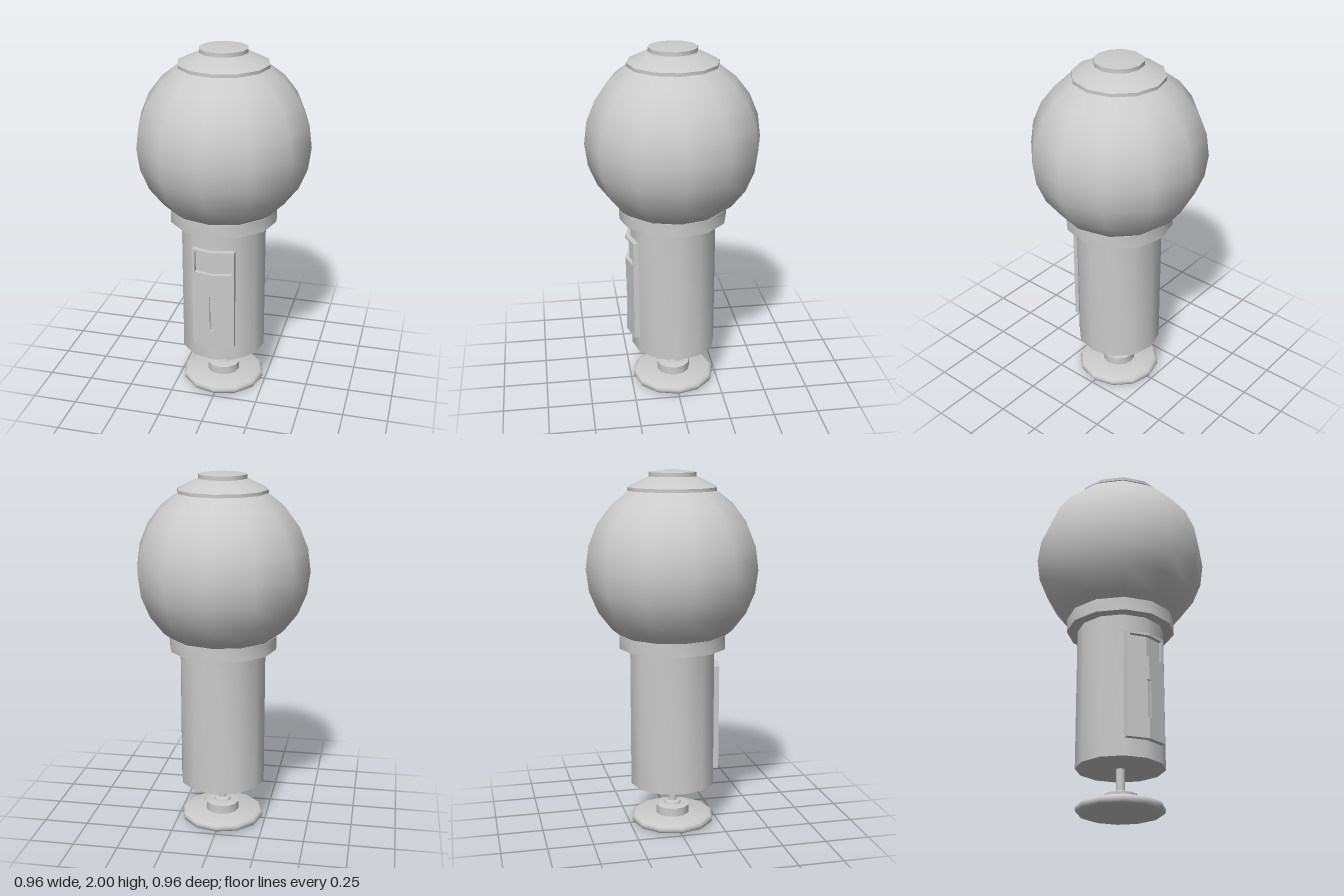
import * as THREE from 'three';
import { toCreasedNormals } from 'three/addons/utils/BufferGeometryUtils.js';

const SIDES = 12;
const SLOPE = Math.tan(Math.PI / SIDES); // slant of the column's two front facets

export function createModel() {
  const group = new THREE.Group();
  const grey = new THREE.MeshStandardMaterial({ color: 0xcccccc });

  const add = (name, geometry, parent = group) => {
    const mesh = new THREE.Mesh(geometry, grey);
    mesh.name = name;
    parent.add(mesh);
    return mesh;
  };

  // Twelve-sided turned part from [radius, height] pairs, bottom to top
  const turned = (name, profile, crease = 0.6) => {
    const points = profile.map(([r, y]) => new THREE.Vector2(r, y));
    add(name, toCreasedNormals(new THREE.LatheGeometry(points, SIDES), crease));
  };

  // Foot, hub and stem
  turned('foot', [[0, 0], [0.215, 0], [0.229, 0.006], [0.236, 0.018], [0.236, 0.032],
    [0.229, 0.044], [0.215, 0.05], [0, 0.05]], 0.75);
  turned('hub', [[0, 0.045], [0.095, 0.045], [0.095, 0.098], [0.048, 0.104],
    [0.044, 0.116], [0.025, 0.122], [0, 0.122]]);
  turned('stem', [[0, 0.1], [0.024, 0.1], [0.024, 0.25], [0, 0.25]]);

  // Column and collar
  turned('column', [[0, 0.24], [0.24, 0.24], [0.24, 1.04], [0, 1.04]]);
  turned('collar', [[0, 1.03], [0.3, 1.03], [0.3, 1.105], [0, 1.105]]);

  // Globe and its cap
  const globe = add('globe', new THREE.SphereGeometry(0.478, SIDES, 12));
  globe.position.y = 1.475;
  turned('cap', [[0, 1.888], [0.247, 1.888], [0.247, 1.906], [0.132, 1.962], [0, 1.962]], 0.55);
  turned('capButton', [[0, 1.955], [0.132, 1.955], [0.132, 1.984], [0, 2]], 0.55);

  // Front panel: mirrored half slabs sheared back to follow the facets
  const panel = new THREE.Group();
  panel.name = 'frontPanel';
  group.add(panel);
  const foldedSlab = (name, outline, back, front) => {
    for (const side of [1, -1]) {
      const shape = new THREE.Shape(outline.map(([x, y]) => new THREE.Vector2(side * x, y)));
      const geometry = new THREE.ExtrudeGeometry(shape, { depth: front - back, bevelEnabled: false });
      const pos = geometry.attributes.position;
      for (let i = 0; i < pos.count; i++) {
        pos.setZ(i, pos.getZ(i) + back - Math.abs(pos.getX(i)) * SLOPE);
      }
      geometry.computeVertexNormals();
      add(name + (side > 0 ? 'Left' : 'Right'), geometry, panel);
    }
  };
  const rect = (w, y0, y1) => [[0, y0], [w, y0], [w, y1], [0, y1]];

  // Frame half with notches for the slot and the window
  foldedSlab('panelFrame', [
    [0, 0.335], [0.118, 0.335], [0.118, 0.926], [0, 0.926],
    [0, 0.912], [0.103, 0.912], [0.103, 0.79], [0, 0.79],
    [0, 0.658], [0.013, 0.658], [0.013, 0.447], [0, 0.447],
  ], 0.225, 0.27);
  foldedSlab('windowBack', rect(0.106, 0.785, 0.917), 0.225, 0.247);
  foldedSlab('slotBack', rect(0.016, 0.443, 0.662), 0.225, 0.258);

  return group;
}
